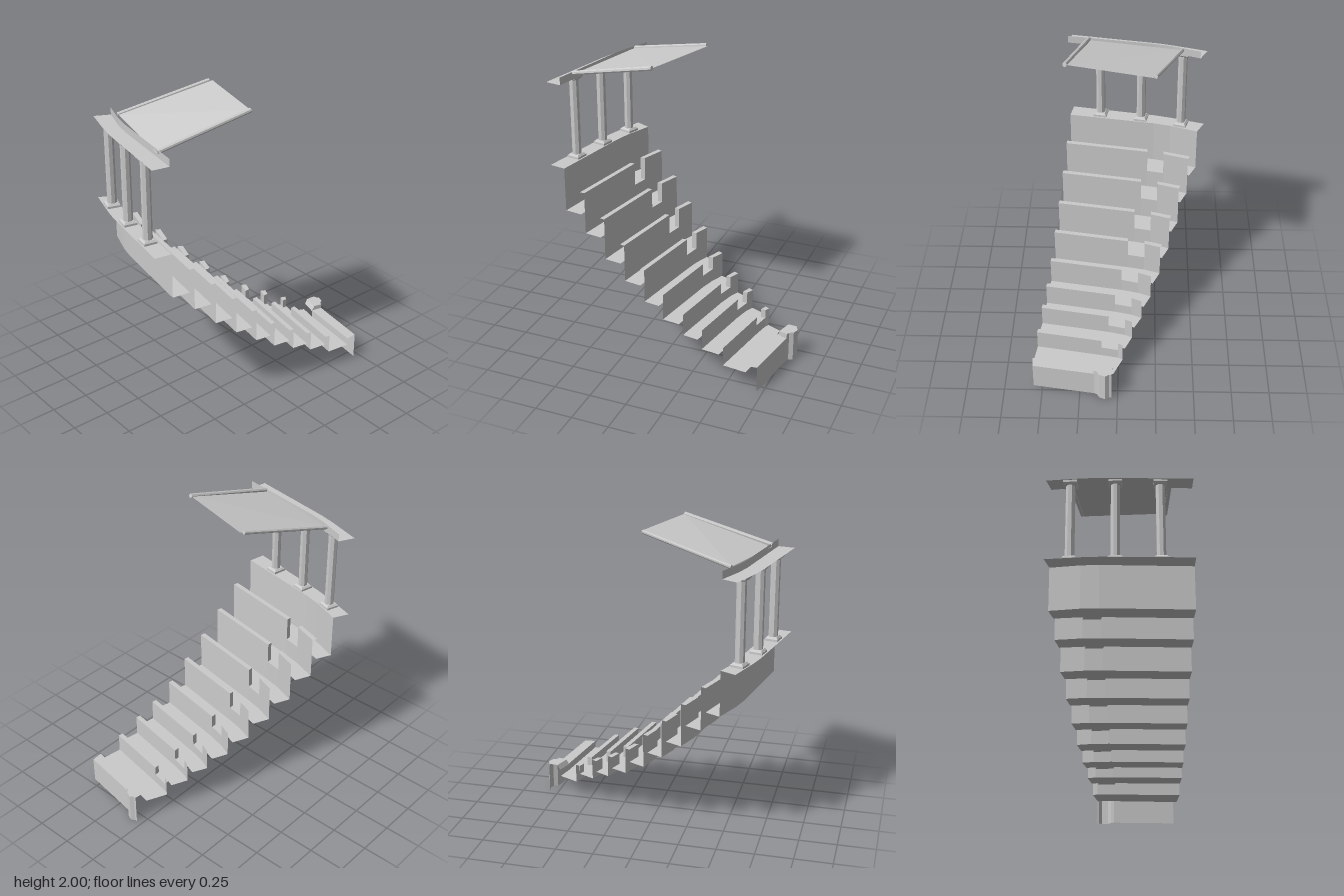
import * as THREE from 'three';

const thin = new THREE.MeshStandardMaterial({ color: 0xcccccc, flatShading: true, side: THREE.DoubleSide });
const solid = new THREE.MeshStandardMaterial({ color: 0xcccccc, flatShading: true });

// Tiers from the top row down: riser bottom and top heights, plan position of both ends
const bottoms = [0.93, 0.80, 0.65, 0.53, 0.42, 0.33, 0.26, 0.20, 0.13];
const tops = [1.23, 1.09, 0.94, 0.79, 0.65, 0.51, 0.41, 0.34, 0.26];
const zRight = [0.71, 0.56, 0.41, 0.26, 0.11, -0.03, -0.18, -0.32, -0.475];
const zLeft = [0.51, 0.38, 0.24, 0.10, -0.04, -0.18, -0.32, -0.45, -0.59];

// Plan line of a riser: end, two sides of the aisle, other end
function tierLine(k) {
  const xa = -0.52 + 0.0613 * k, xd = 0.36 + 0.0231 * k;
  const xb = -0.336 + 0.042 * k, xc = xb + 0.112;
  const zc = zRight[k] - 0.175 * (xd - xc);
  const zb = zLeft[k] + (zc - zLeft[k]) * ((xb - xa) / (xc - xa)) + 0.008;
  return [[xa, zLeft[k]], [xb, zb], [xc, zc], [xd, zRight[k]]];
}

// Front face of a parapet, a little forward of its riser
const inset = (line) => line.map(([x, z], i) => [x - [0.014, 0, 0, 0.005][i], z + 0.032]);

// Ruled strip between two plan lines, each at its own height
function ribbon(parent, name, a, ya, b, yb, material = thin) {
  const pos = [];
  for (let i = 0; i < a.length - 1; i++) {
    const p = [a[i][0], ya, a[i][1]], q = [a[i + 1][0], ya, a[i + 1][1]];
    const r = [b[i + 1][0], yb, b[i + 1][1]], s = [b[i][0], yb, b[i][1]];
    pos.push(...p, ...q, ...r, ...p, ...r, ...s);
  }
  const g = new THREE.BufferGeometry();
  g.setAttribute('position', new THREE.Float32BufferAttribute(pos, 3));
  g.computeVertexNormals();
  const mesh = new THREE.Mesh(g, material);
  mesh.name = name;
  parent.add(mesh);
}

// Round rail between two points
function rail(parent, name, from, to, radius) {
  const a = new THREE.Vector3(...from), b = new THREE.Vector3(...to);
  const mesh = new THREE.Mesh(new THREE.CylinderGeometry(radius, radius, a.distanceTo(b), 8), solid);
  mesh.position.copy(a).add(b).multiplyScalar(0.5);
  mesh.quaternion.setFromUnitVectors(new THREE.Vector3(0, 1, 0), b.sub(a).normalize());
  mesh.name = name;
  parent.add(mesh);
}

function makeColumn(x, z, turn) {
  const column = new THREE.Group();
  column.name = 'column';
  const add = (name, geometry, y, rot = 0) => {
    const mesh = new THREE.Mesh(geometry, solid);
    mesh.name = name;
    mesh.position.y = y;
    mesh.rotation.y = rot;
    column.add(mesh);
  };
  add('shaft', new THREE.CylinderGeometry(0.031, 0.031, 0.54, 8), 1.515, Math.PI / 8);
  for (const [name, y, s] of [['base', 1.23, 1], ['capital', 1.80, -1]]) {
    add(name + 'Plate', new THREE.BoxGeometry(0.088, 0.014, 0.088), y + s * 0.007);
    const [up, down] = s > 0 ? [0.046, 0.06] : [0.06, 0.046];
    add(name + 'Flare', new THREE.CylinderGeometry(up, down, 0.012, 4), y + s * 0.02, Math.PI / 4);
  }
  column.position.set(x, 0, z);
  column.rotation.y = turn;
  return column;
}

export function createModel() {
  const model = new THREE.Group();
  model.name = 'grandstand';
  const lines = bottoms.map((_, k) => tierLine(k));
  const frontInner = [[0.03, -0.725], [0.07, -0.716], [0.14, -0.70], [0.565, -0.635]];

  // Stepped rows with parapets broken by the aisle
  lines.forEach((line, k) => {
    const tier = new THREE.Group();
    tier.name = 'tier';
    model.add(tier);
    const b = bottoms[k], t = tops[k];
    const next = k < 8 ? inset(lines[k + 1]) : frontInner;
    ribbon(tier, 'tread', line, b, next, b);
    if (k === 0) {
      ribbon(tier, 'riser', line, b, line, t);
      return;
    }
    const above = bottoms[k - 1], inner = inset(line);
    ribbon(tier, 'riser', line, b, line, above);
    ribbon(tier, 'aisleTread', inner.slice(1, 3), above, line.slice(1, 3), above);
    for (const i of [0, 2]) {
      const o = line.slice(i, i + 2), n = inner.slice(i, i + 2);
      ribbon(tier, 'parapetBack', o, above, o, t);
      ribbon(tier, 'parapetFront', n, above, n, t, solid);
      ribbon(tier, 'parapetTop', n, t, o, t);
    }
    for (const i of [1, 2]) {
      const end = i === 1 ? [inner[i], line[i]] : [line[i], inner[i]];
      ribbon(tier, 'parapetEnd', end, above, end, t, solid);
    }
  });

  // Lowest wall with its broad ledge
  const wall = [[0.155, -0.775], [0.56, -0.71]], ledge = frontInner.slice(2);
  ribbon(model, 'lowWall', wall, 0, wall, 0.18);
  ribbon(model, 'lowLedge', ledge, 0.18, wall, 0.18);
  ribbon(model, 'lowWallFront', ledge, 0.13, ledge, 0.18, solid);

  // Moulded post closing the low wall
  const post = [[0.04, -0.812], [0.055, -0.812], [0.08, -0.828], [0.12, -0.812], [0.135, -0.785], [0.155, -0.775]];
  const lip = post.map((_, i) => [0.035 + 0.021 * i, -0.73 + 0.006 * i]);
  const hood = lip.map(([x, z]) => [x, z - 0.018]);
  ribbon(model, 'post', post, 0, post, 0.21);
  ribbon(model, 'postHood', hood, 0.21, post, 0.21);
  ribbon(model, 'postLip', lip, 0.175, hood, 0.21);
  const side = [hood[5], post[5]];
  ribbon(model, 'postSide', side, 0.18, side, 0.21);

  // Top gallery floor, and the matching beam above the columns
  const front = [[-0.57, 0.61], [-0.345, 0.682], [-0.24, 0.71], [0.34, 0.82]];
  ribbon(model, 'galleryFloor', front, 1.23, lines[0], 1.23);
  ribbon(model, 'beamSoffit', front, 1.80, lines[0], 1.80);
  ribbon(model, 'beamWall', lines[0], 1.80, lines[0], 1.85);

  for (const [x, z, turn] of [[-0.41, 0.607, -0.3], [-0.135, 0.675, -0.22], [0.145, 0.728, -0.18]]) {
    model.add(makeColumn(x, z, turn));
  }

  // Sloping canopy with a rail along each side
  const fl = [-0.39, 1.845, 0.54], fr = [0.215, 1.83, 0.69];
  const bl = [-0.205, 1.985, -0.065], br = [0.34, 1.985, 0.085];
  const canopy = new THREE.Group();
  canopy.name = 'canopy';
  model.add(canopy);
  const sheet = new THREE.BufferGeometry();
  sheet.setAttribute('position', new THREE.Float32BufferAttribute([...fl, ...fr, ...br, ...fl, ...br, ...bl], 3));
  sheet.computeVertexNormals();
  const panel = new THREE.Mesh(sheet, thin);
  panel.name = 'canopySheet';
  canopy.add(panel);
  rail(canopy, 'canopyRail', [-0.4, 1.845, 0.54], [-0.22, 1.985, -0.05], 0.013);
  rail(canopy, 'canopyRail', [0.22, 1.84, 0.69], [0.342, 1.985, 0.085], 0.015);
  return model;
}
